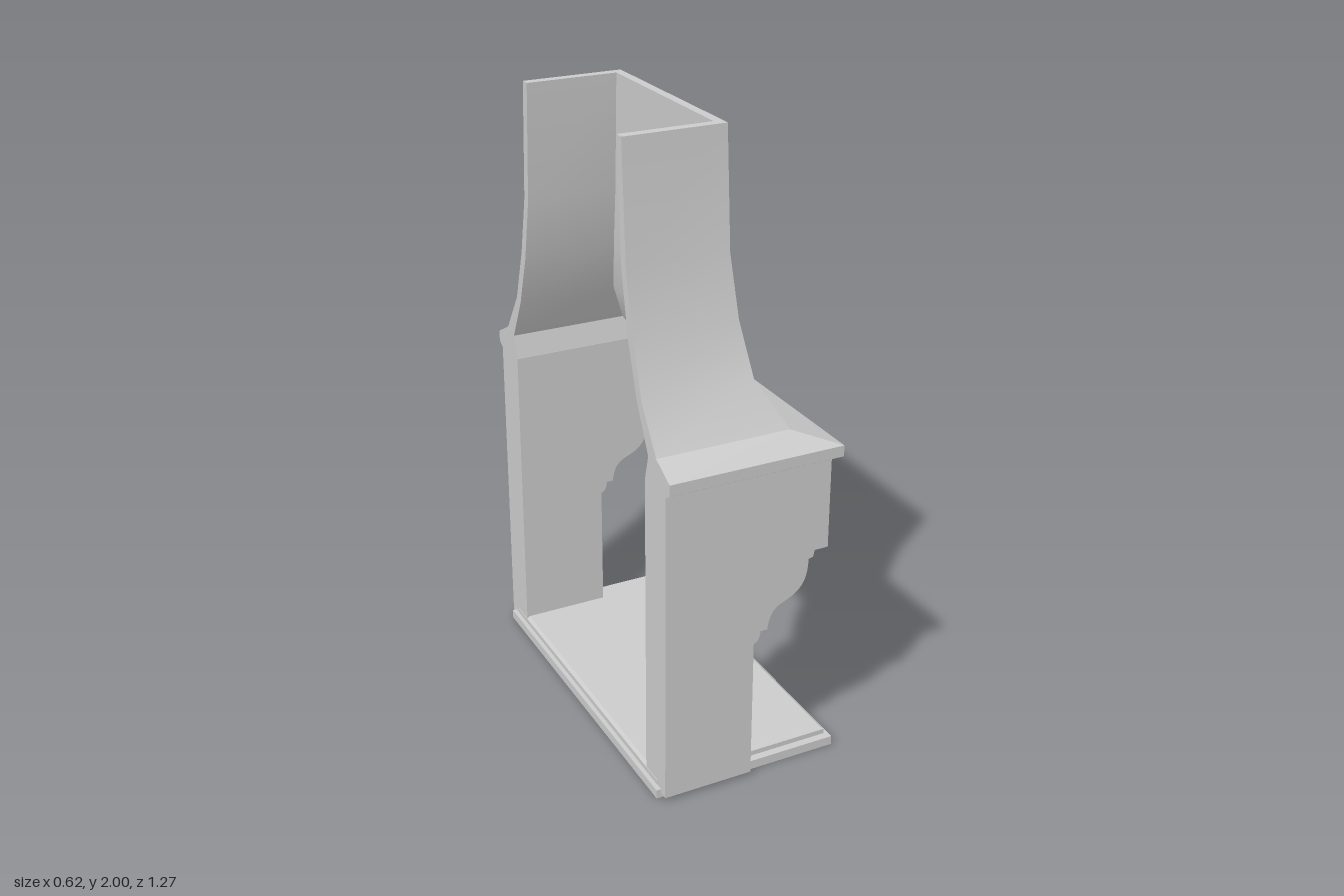
import * as THREE from 'three';
import { toCreasedNormals } from 'three/addons/utils/BufferGeometryUtils.js';

const material = new THREE.MeshStandardMaterial({ color: 0xcccccc, side: THREE.DoubleSide });
const BACK = -0.295;

function addMesh(parent, name, geometry, x = 0, y = 0, z = 0) {
  const mesh = new THREE.Mesh(geometry, material);
  mesh.name = name;
  mesh.position.set(x, y, z);
  parent.add(mesh);
  return mesh;
}

// Sweeps a closed profile of [x, z, y] points round three sides, open at the back
function threeSidedSweep(profile) {
  const positions = [];
  const index = [];
  const n = profile.length;
  for (const [x, z, y] of profile) {
    positions.push(BACK, y, z, x, y, z, x, y, -z, BACK, y, -z);
  }
  for (let i = 0; i < n; i++) {
    const j = (i + 1) % n;
    for (let k = 0; k < 3; k++) {
      const a = i * 4 + k, b = j * 4 + k;
      index.push(a, a + 1, b + 1, a, b + 1, b);
    }
  }
  // End caps at the back
  const contour = profile.map(([, z, y]) => new THREE.Vector2(z, y));
  for (const [a, b, c] of THREE.ShapeUtils.triangulateShape(contour, [])) {
    index.push(a * 4, b * 4, c * 4, a * 4 + 3, c * 4 + 3, b * 4 + 3);
  }
  const geometry = new THREE.BufferGeometry();
  geometry.setAttribute('position', new THREE.Float32BufferAttribute(positions, 3));
  geometry.setIndex(index);
  return toCreasedNormals(geometry, 0.45);
}

// Side panel outline with the scrolled bracket on its front edge
function sidePanelGeometry(depth) {
  const shape = new THREE.Shape();
  shape.moveTo(BACK, 0.015);
  shape.lineTo(0, 0.015);
  shape.lineTo(0, 0.48);
  shape.quadraticCurveTo(0.02, 0.485, 0.022, 0.518);
  shape.lineTo(0.045, 0.518);
  shape.bezierCurveTo(0.05, 0.56, 0.06, 0.585, 0.1, 0.6);
  shape.bezierCurveTo(0.15, 0.62, 0.18, 0.645, 0.18, 0.725);
  shape.lineTo(0.195, 0.728);
  shape.lineTo(0.2, 0.75);
  shape.lineTo(0.245, 0.75);
  shape.lineTo(0.245, 1.045);
  shape.lineTo(BACK, 1.045);
  shape.closePath();
  const geometry = new THREE.ExtrudeGeometry(shape, { depth, bevelEnabled: false, curveSegments: 10 });
  return toCreasedNormals(geometry, 0.5);
}

export function createModel() {
  const group = new THREE.Group();
  group.name = 'fireplaceSurround';

  // Stepped hearth with a slightly chamfered top edge
  const hearth = new THREE.Group();
  hearth.name = 'hearth';
  group.add(hearth);
  addMesh(hearth, 'hearthBase', new THREE.BoxGeometry(0.62, 0.03, 1.16), 0, 0.015, 0);
  const slab = new THREE.BoxGeometry(0.592, 0.025, 1.11, 1, 2, 1);
  const p = slab.attributes.position;
  for (let i = 0; i < p.count; i++) {
    if (p.getY(i) > 0.01) {
      p.setX(i, p.getX(i) * 0.966);
      p.setZ(i, p.getZ(i) * 0.982);
    } else if (p.getY(i) > -0.01) {
      p.setY(i, 0.004);
    }
  }
  addMesh(hearth, 'hearthSlab', toCreasedNormals(slab, 0.3), 0, 0.0425, 0);

  // Side panels
  const panel = sidePanelGeometry(0.13);
  addMesh(group, 'leftSidePanel', panel, 0, 0, 0.478);
  addMesh(group, 'rightSidePanel', panel, 0, 0, -0.608);

  // Front beam between the panels
  addMesh(group, 'frontBeam', new THREE.BoxGeometry(0.095, 0.295, 0.956), 0.1975, 0.8975, 0);

  // Cornice and flared hood, outer profile upwards then inner profile downwards
  addMesh(group, 'corniceAndHood', threeSidedSweep([
    [0.245, 0.608, 1.04],
    [0.262, 0.625, 1.05],
    [0.27, 0.633, 1.055],
    [0.27, 0.633, 1.09],
    [0.135, 0.55, 1.135],
    [0.064, 0.46, 1.27],
    [0.041, 0.405, 1.44],
    [0.031, 0.365, 1.63],
    [0.028, 0.344, 2],
    [0, 0.314, 2],
    [0.002, 0.335, 1.63],
    [0.012, 0.374, 1.43],
    [0.035, 0.43, 1.26],
    [0.1, 0.5, 1.12],
    [0.15, 0.478, 1.04],
  ]));

  return group;
}
